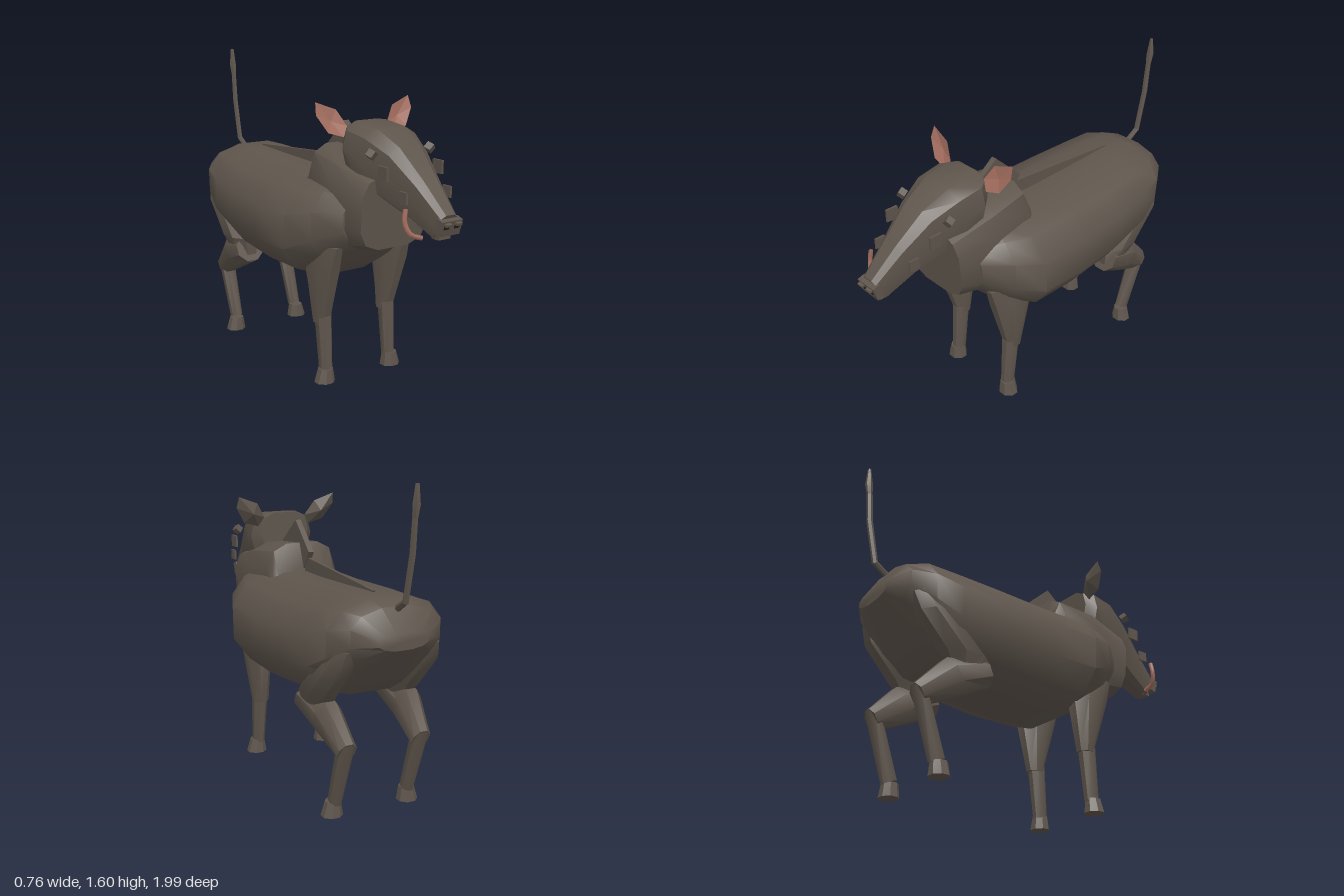
import * as THREE from 'three';
import { toCreasedNormals } from 'three/addons/utils/BufferGeometryUtils.js';

const mat = (name, color, side = THREE.FrontSide) => {
  const m = new THREE.MeshStandardMaterial({ color, side });
  m.name = name;
  return m;
};

export function createModel() {
  const hide = mat('hide brown', 0x5e554c);
  const pink = mat('flesh pink', 0xa56f60, THREE.DoubleSide);
  const dark = mat('nostril dark', 0x231f1c);
  const model = new THREE.Group();
  model.name = 'wildPig';

  const add = (name, geo, material = hide, parent = model) => {
    const mesh = new THREE.Mesh(geo, material);
    mesh.name = name;
    parent.add(mesh);
    return mesh;
  };

  // Loft through rings: [z and y of one rim point, z and y of the opposite one, half width, centre x].
  // Rings run forward (first rim point on top) or upward (first rim point at the back).
  const loft = (rings, sides = 10, round = 1, crease = 0.7) => {
    const pos = [], idx = [];
    const bend = (v) => Math.sign(v) * Math.pow(Math.abs(v), round);
    for (const [za, ya, zb, yb, w, x = 0] of rings) {
      for (let j = 0; j < sides; j++) {
        const a = ((j + 0.5) / sides) * Math.PI * 2;
        const u = bend(Math.cos(a)), s = bend(Math.sin(a));
        pos.push(x + s * w, (ya + yb) / 2 + (u * (ya - yb)) / 2, (za + zb) / 2 + (u * (za - zb)) / 2);
      }
    }
    const last = rings.length - 1;
    for (let i = 0; i < last; i++) {
      for (let j = 0; j < sides; j++) {
        const k = (j + 1) % sides, p = i * sides, q = p + sides;
        idx.push(p + j, q + j, p + k, p + k, q + j, q + k);
      }
    }
    for (const i of [0, last]) {
      const [za, ya, zb, yb, , x = 0] = rings[i];
      const c = pos.length / 3;
      pos.push(x, (ya + yb) / 2, (za + zb) / 2);
      for (let j = 0; j < sides; j++) {
        const p = i * sides + j, q = i * sides + ((j + 1) % sides);
        if (i === 0) idx.push(c, p, q);
        else idx.push(c, q, p);
      }
    }
    const geo = new THREE.BufferGeometry();
    geo.setAttribute('position', new THREE.Float32BufferAttribute(pos, 3));
    geo.setIndex(idx);
    return toCreasedNormals(geo, crease);
  };

  // Thin upright plate from a side outline of [z, y] points
  const plate = (points, thick) => {
    const shape = new THREE.Shape(points.map(([z, y]) => new THREE.Vector2(-z, y)));
    const geo = new THREE.ExtrudeGeometry(shape, { depth: thick, bevelEnabled: false });
    return geo.translate(0, 0, -thick / 2).rotateY(Math.PI / 2);
  };

  // Trunk
  add('body', loft([
    [-0.91, 0.94, -0.91, 0.86, 0.13],
    [-0.84, 1.05, -0.84, 0.79, 0.24],
    [-0.75, 1.08, -0.73, 0.68, 0.31],
    [-0.6, 1.08, -0.62, 0.58, 0.34],
    [-0.38, 1.07, -0.39, 0.53, 0.37],
    [-0.1, 1.06, -0.1, 0.505, 0.385],
    [0.2, 1.06, 0.17, 0.51, 0.39],
    [0.34, 1.06, 0.34, 0.61, 0.33],
    [0.48, 1.02, 0.46, 0.72, 0.23],
  ], 12, 0.85));

  add('neck', loft([
    [0.07, 1.04, 0.12, 0.75, 0.2],
    [0.13, 1.2, 0.2, 0.74, 0.2],
    [0.35, 1.18, 0.38, 0.69, 0.23],
    [0.6, 1.11, 0.57, 0.735, 0.205],
  ], 12, 0.6));

  // Ridge of bristles
  add('shoulderMane', plate([[0.36, 1.17], [0.18, 1.31], [0.02, 1.16], [0.1, 1.04]], 0.03));
  add('backMane', plate([[0.1, 1.13], [-0.64, 1.08], [-0.62, 1.05], [0.1, 1.0]], 0.016));

  // Head, tapering to the snout
  add('head', loft([
    [0.35, 1.335, 0.35, 1.12, 0.14],
    [0.4, 1.335, 0.4, 1.08, 0.18],
    [0.54, 1.32, 0.48, 1.02, 0.175],
    [0.68, 1.25, 0.6, 0.97, 0.13],
    [0.83, 1.115, 0.74, 0.92, 0.085],
    [0.97, 0.98, 0.9, 0.85, 0.055],
  ], 10, 0.65, 0.55));

  const snout = new THREE.Group();
  snout.name = 'snout';
  snout.position.set(0, 0.925, 0.955);
  snout.rotation.x = 0.3;
  model.add(snout);
  add('noseDisc', new THREE.BoxGeometry(0.12, 0.075, 0.04), hide, snout);
  for (const s of [-1, 1]) {
    add('nostril', new THREE.BoxGeometry(0.028, 0.016, 0.008).translate(s * 0.03, 0.008, 0.021), dark, snout);
    add('noseRim', new THREE.BoxGeometry(0.034, 0.012, 0.02).translate(s * 0.03, 0.024, 0.026), hide, snout);
  }
  add('lowerLip', new THREE.BoxGeometry(0.07, 0.025, 0.05).translate(0, 0.872, 0.91));

  // Ear: a rim fanned to a point behind for the shell and to a shallow hollow for the lining
  const rim = [[0.12, 1.31], [0.17, 1.39], [0.28, 1.43], [0.288, 1.37], [0.235, 1.285], [0.15, 1.26]];
  const earFan = (s, depth, back) => {
    const z = (y) => 0.37 - (y - 1.26) * 0.3;
    const c = [s * 0.2, 1.335, z(1.335) - depth];
    const pos = [];
    rim.forEach(([x, y], i) => {
      const [x2, y2] = rim[(i + 1) % rim.length];
      const a = [s * x, y, z(y)], b = [s * x2, y2, z(y2)];
      pos.push(...c, ...((s > 0) === back ? [...a, ...b] : [...b, ...a]));
    });
    const geo = new THREE.BufferGeometry();
    geo.setAttribute('position', new THREE.Float32BufferAttribute(pos, 3));
    geo.computeVertexNormals();
    return geo;
  };

  for (const s of [1, -1]) {
    const side = s > 0 ? 'left' : 'right';
    add(side + 'EarShell', earFan(s, 0.04, true));
    add(side + 'EarLining', earFan(s, 0.015, false), pink);

    // Eye and face warts
    const eye = add(side + 'Eye', new THREE.BoxGeometry(0.036, 0.036, 0.036));
    eye.position.set(s * 0.173, 1.215, 0.617);
    eye.rotation.set(0.4, 0.3, s * 0.7);
    add(side + 'UpperWart', new THREE.BoxGeometry(0.012, 0.065, 0.065).translate(s * 0.163, 1.137, 0.693));
    add(side + 'LowerWart', new THREE.BoxGeometry(0.01, 0.055, 0.055).translate(s * 0.13, 1.04, 0.797));

    // Front leg
    const x = s * 0.21;
    add(side + 'FrontUpperLeg', loft([
      [0.21, 0.31, 0.3, 0.31, 0.045, s * 0.2],
      [0.15, 0.58, 0.4, 0.62, 0.07, x],
      [0.2, 0.74, 0.43, 0.73, 0.05, x],
    ], 8));
    add(side + 'FrontLowerLeg', loft([
      [0.25, 0.06, 0.33, 0.06, 0.033, s * 0.2],
      [0.215, 0.35, 0.315, 0.35, 0.043, s * 0.2],
    ], 8));

    // Hind leg: thigh, shank, shin
    add(side + 'Thigh', loft([
      [-0.62, 0.56, -0.4, 0.46, 0.06, s * 0.22],
      [-0.65, 0.6, -0.39, 0.6, 0.09, s * 0.225],
      [-0.8, 0.76, -0.6, 0.8, 0.08, s * 0.225],
      [-0.83, 0.85, -0.7, 0.9, 0.05, s * 0.22],
    ], 8));
    add(side + 'Shank', loft([
      [-0.785, 0.41, -0.73, 0.31, 0.05, s * 0.2],
      [-0.64, 0.57, -0.53, 0.4, 0.075, s * 0.22],
      [-0.45, 0.61, -0.39, 0.47, 0.085, s * 0.225],
    ], 8));
    add(side + 'Shin', loft([
      [-0.68, 0.06, -0.6, 0.09, 0.033, s * 0.2],
      [-0.79, 0.4, -0.7, 0.37, 0.045, s * 0.2],
    ], 8));

    // Hooves
    for (const [end, z] of [['Front', 0.295], ['Hind', -0.63]]) {
      add(side + end + 'Hoof', loft([
        [z - 0.05, 0, z + 0.05, 0, 0.055, x],
        [z - 0.042, 0.072, z + 0.042, 0.072, 0.038, s * 0.205],
      ], 8));
    }
  }

  // Single curved tusk on the right
  const tuskPath = new THREE.CatmullRomCurve3([[-0.15, 1.0, 0.84], [-0.158, 0.94, 0.845], [-0.135, 0.885, 0.86], [-0.075, 0.862, 0.865]]
    .map((p) => new THREE.Vector3(...p)));
  add('tusk', new THREE.TubeGeometry(tuskPath, 8, 0.012, 6), pink);

  // Raised tail with a tuft
  add('tailRoot', loft([
    [-0.92, 1.07, -0.9, 1.09, 0.015],
    [-0.82, 1.0, -0.8, 1.03, 0.014],
  ].reverse().map(([za, ya, zb, yb, w]) => [za, ya, zb, yb, w]), 6));
  add('tail', loft([
    [-0.925, 1.07, -0.895, 1.08, 0.015],
    [-0.975, 1.3, -0.94, 1.3, 0.014],
    [-0.985, 1.46, -0.955, 1.46, 0.014],
  ], 6));
  add('tailTuft', loft([
    [-0.985, 1.45, -0.955, 1.45, 0.013],
    [-0.998, 1.51, -0.958, 1.51, 0.02],
    [-0.99, 1.6, -0.974, 1.6, 0.01],
  ], 6));

  return model;
}
